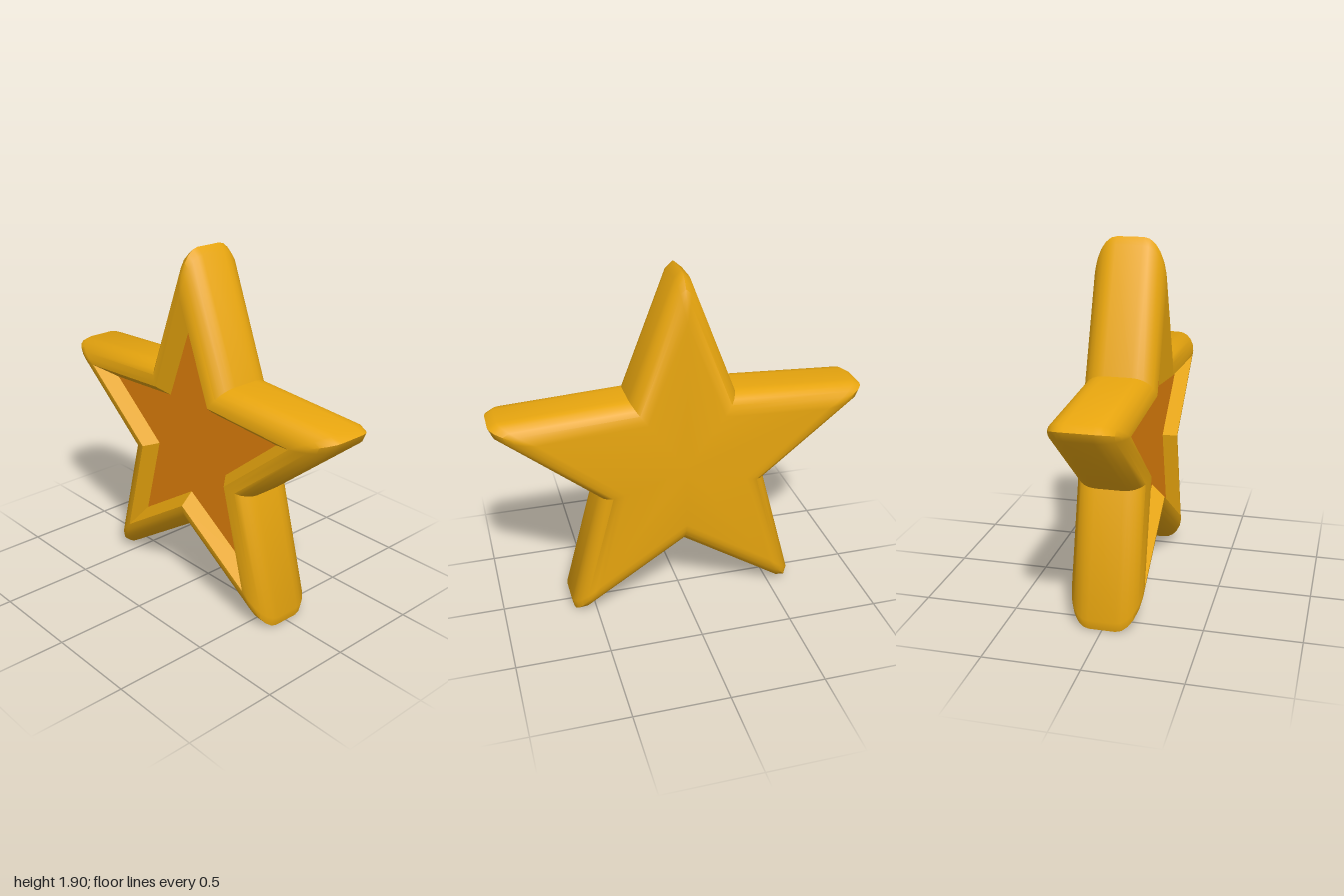
import * as THREE from 'three';
import { toCreasedNormals } from 'three/addons/utils/BufferGeometryUtils.js';

const CENTRE_Y = 0.85;
const TIP = 1.12, VALLEY = 0.48;   // radii of the sharp star outline
const BEVEL = 0.11;                // inward reach of the rounded edge
const HALF = 0.19, STRAIGHT = 0.07; // half thickness, half height of the straight side

// Star outline moved inward by `offset` at depth z; tips are blunted until the bevel ends.
function starRing(offset, z) {
  const tip = TIP - offset / 0.358;
  const valley = VALLEY - offset / 0.839;
  const blunt = Math.max(0, 1 - offset / BEVEL);
  const ring = [];
  const add = (angle, along, side) => ring.push(new THREE.Vector3(
    along * Math.cos(angle) - side * Math.sin(angle),
    along * Math.sin(angle) + side * Math.cos(angle), z));
  for (let i = 0; i < 5; i++) {
    const a = Math.PI / 2 + i * Math.PI * 0.4;
    add(a, tip - 0.105 * blunt, -0.04 * blunt);
    add(a, tip - 0.07 * blunt, 0);
    add(a, tip - 0.105 * blunt, 0.04 * blunt);
    add(a + Math.PI / 5, valley, 0);
  }
  return ring;
}

// Collects triangles, leaving out the collapsed ones.
function addTriangle(out, a, b, c) {
  if (new THREE.Triangle(a, b, c).getArea() < 1e-8) return;
  for (const p of [a, b, c]) out.push(p.x, p.y, p.z);
}

// Joins neighbouring rings with a skin.
function addSkin(out, rings) {
  for (let r = 0; r + 1 < rings.length; r++) {
    const A = rings[r], B = rings[r + 1], n = A.length;
    for (let i = 0; i < n; i++) {
      const j = (i + 1) % n;
      addTriangle(out, A[i], A[j], B[j]);
      addTriangle(out, A[i], B[j], B[i]);
    }
  }
}

// Closes a ring with a flat fan.
function addCap(out, ring, facesFront) {
  const centre = new THREE.Vector3(0, 0, ring[0].z);
  ring.forEach((p, i) => {
    const q = ring[(i + 1) % ring.length];
    if (facesFront) addTriangle(out, centre, p, q);
    else addTriangle(out, centre, q, p);
  });
}

function makeMesh(name, positions, material, crease) {
  const geometry = new THREE.BufferGeometry();
  geometry.setAttribute('position', new THREE.Float32BufferAttribute(positions, 3));
  geometry.computeVertexNormals();
  const mesh = new THREE.Mesh(toCreasedNormals(geometry, crease), material);
  mesh.name = name;
  mesh.position.y = CENTRE_Y;
  return mesh;
}

export function createModel() {
  const gold = new THREE.MeshStandardMaterial({ color: 0xeba80f });
  gold.name = 'gold';
  const orange = new THREE.MeshStandardMaterial({ color: 0xe8850c });
  orange.name = 'orange';

  const group = new THREE.Group();
  group.name = 'star';

  // Rounded body: quarter-round bevel on the back, straight side, bevel on the front
  const steps = 6, rings = [];
  for (const sign of [-1, 1]) {
    for (let i = 0; i <= steps; i++) {
      const t = (sign < 0 ? steps - i : i) / steps * Math.PI / 2;
      rings.push(starRing(BEVEL * (1 - Math.cos(t)),
        sign * (STRAIGHT + (HALF - STRAIGHT) * Math.sin(t))));
    }
  }
  const body = [];
  addSkin(body, rings);
  addCap(body, rings[0], false);
  group.add(makeMesh('body', body, gold, 0.65));

  // Sloping walls of the front recess
  const floorRing = starRing(BEVEL + 0.055, HALF - 0.07);
  const walls = [];
  addSkin(walls, [rings[rings.length - 1], floorRing]);
  group.add(makeMesh('recessWalls', walls, gold, 0.3));

  // Recess floor
  const floor = [];
  addCap(floor, floorRing, true);
  group.add(makeMesh('recessFloor', floor, orange, 0.3));

  return group;
}
